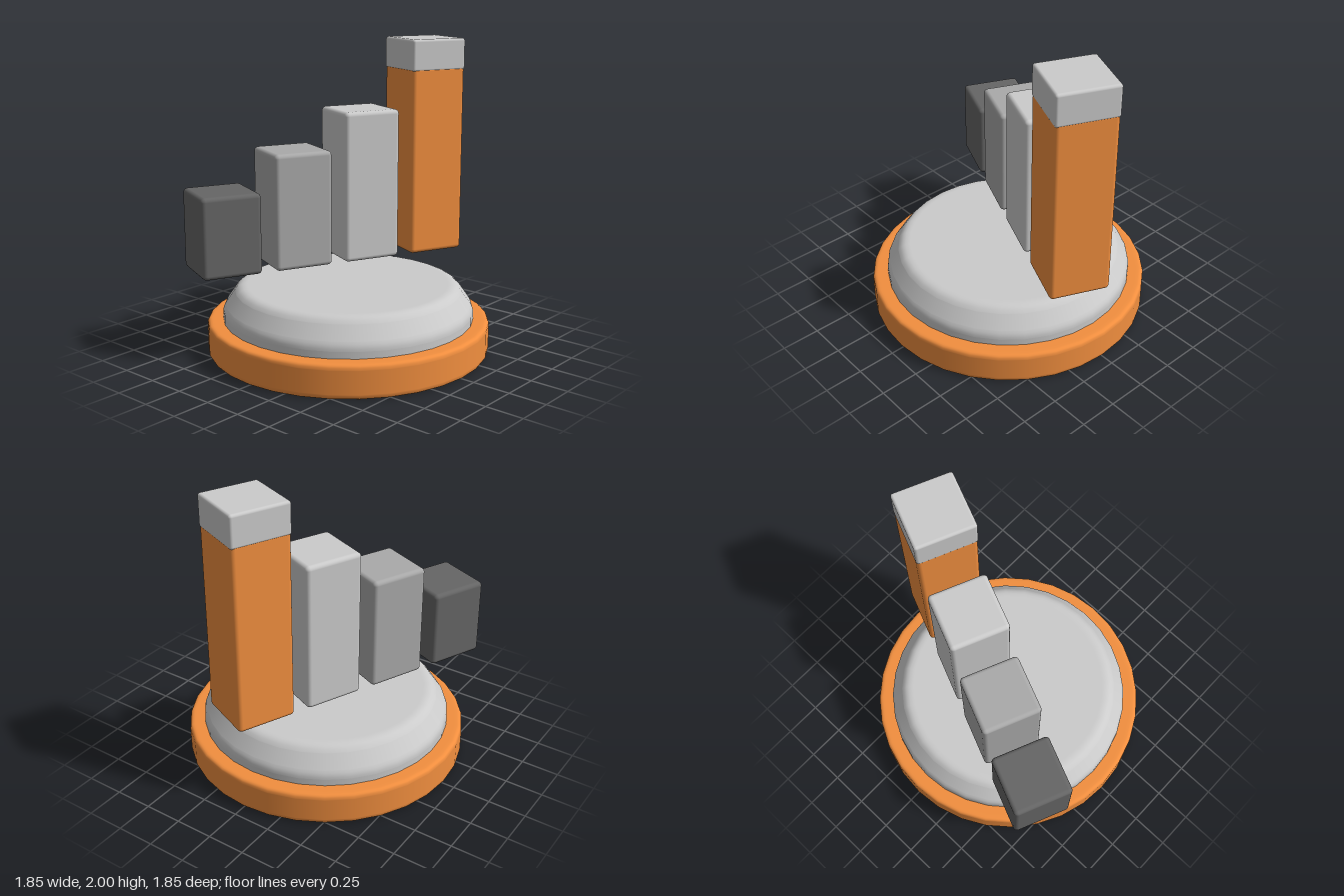
import * as THREE from 'three';
import { RoundedBoxGeometry } from 'three/addons/geometries/RoundedBoxGeometry.js';

const material = (color) => new THREE.MeshStandardMaterial({ color });

const ORANGE = material(0xf28f3f);
const LIGHT = material(0xcccccc);
const MID = material(0xaaaaaa);
const DARK = material(0x666666);

// Turned disc with every profile corner [radius, y, rounding] rounded off
function turned(name, corners, mat) {
  const pts = [new THREE.Vector2(0, corners[0][1])];
  const at = (i) => {
    if (i < 0) return pts[0];
    if (i >= corners.length) return new THREE.Vector2(0, corners[corners.length - 1][1]);
    return new THREE.Vector2(corners[i][0], corners[i][1]);
  };
  const first = at(-1).clone();
  corners.forEach(([, , r], i) => {
    const p = at(i);
    const prev = i === 0 ? first : at(i - 1);
    const a = p.clone().add(prev.clone().sub(p).setLength(r));
    const b = p.clone().add(at(i + 1).clone().sub(p).setLength(r));
    // Support points keep the neighbouring flats and walls shaded flat
    pts.push(a.clone().lerp(prev, 0.02));
    pts.push(...new THREE.QuadraticBezierCurve(a, p, b).getPoints(4));
    pts.push(b.clone().lerp(at(i + 1), 0.02));
  });
  pts.push(at(corners.length));
  const mesh = new THREE.Mesh(new THREE.LatheGeometry(pts, 32), mat);
  mesh.name = name;
  mesh.position.x = -0.004;
  return mesh;
}

// Upright rounded block between two heights
function block(name, size, bottom, top, radius, mat) {
  const mesh = new THREE.Mesh(new RoundedBoxGeometry(size, top - bottom, size, 4, radius), mat);
  mesh.name = name;
  mesh.position.y = (bottom + top) / 2;
  return mesh;
}

export function createModel() {
  const model = new THREE.Group();
  model.name = 'barChartTrophy';

  // Stepped round pedestal
  model.add(turned('baseDisc', [[0.923, 0, 0.03], [0.923, 0.215, 0.03]], ORANGE));
  model.add(turned('pedestal', [[0.82, 0.2, 0.01], [0.82, 0.29, 0.03], [0.715, 0.44, 0.045]], LIGHT));

  // Rising row of floating bars, set diagonally above the pedestal
  const bars = new THREE.Group();
  bars.name = 'bars';
  bars.position.set(0.007, 0, -0.195);
  bars.rotation.y = -0.407;
  model.add(bars);

  const bottom = 0.57;
  const tops = [1.09, 1.32, 1.555, 1.82];
  const mats = [DARK, MID, LIGHT, ORANGE];
  tops.forEach((top, i) => {
    const bar = block('bar' + (i + 1), 0.39, bottom, top, 0.028, mats[i]);
    bar.position.x = (i - 1.5) * 0.485;
    bars.add(bar);
  });

  // Pale cap on the tallest bar
  const cap = block('tallBarCap', 0.393, 1.79, 2.0, 0.018, LIGHT);
  cap.position.x = 1.5 * 0.485;
  bars.add(cap);

  return model;
}
